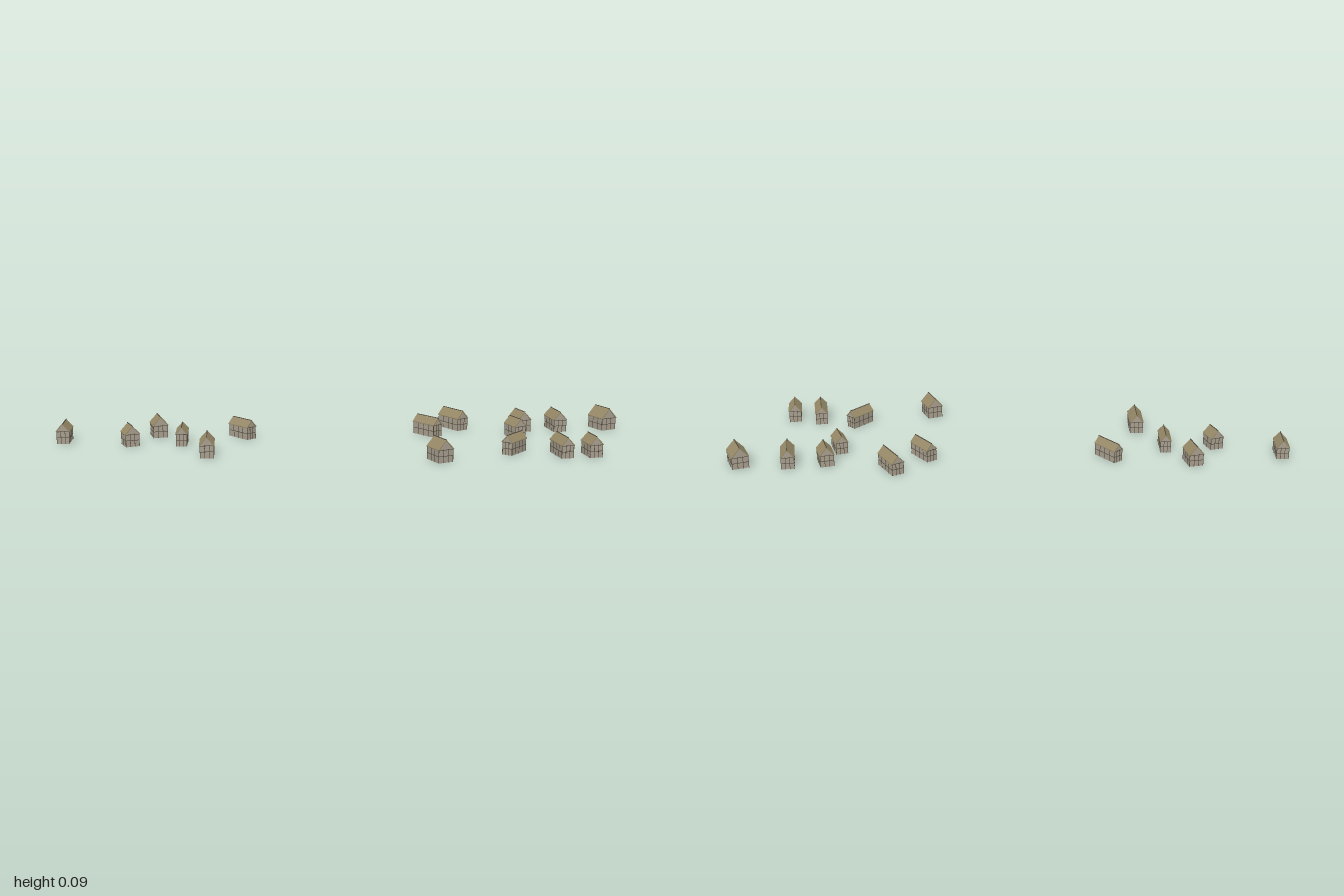
import * as THREE from 'three';

const wallMat = new THREE.MeshStandardMaterial({ color: 0xa89f8f });
const roofMat = new THREE.MeshStandardMaterial({ color: 0x978a68 });
const beamMat = new THREE.MeshStandardMaterial({ color: 0x4f473b });

const EAVES = 0.049;   // height of the eaves
const OVERHANG = 0.003;
const BEAM = 0.0018;

// x, z of the centre, ridge vector (x, z), overall width
const HOUSES = [
  [-0.956, 0.457, 0.036, 0.086, 0.052],
  [-0.668, 0.248, 0.048, 0.064, 0.060],
  [-0.694, 0.427, 0.048, 0.050, 0.057],
  [-0.523, 0.339, 0.043, 0.099, 0.045],
  [-0.358, 0.158, 0.100, 0.050, 0.046],
  [-0.355, 0.475, 0.048, 0.104, 0.055],
  [0.459, 0.267, 0.062, 0.058, 0.064],
  [0.678, 0.056, -0.030, 0.103, 0.045],
  [0.849, 0.035, 0.064, 0.098, 0.051],
  [0.951, 0.000, 0.047, 0.074, 0.053],
  [0.294, -0.126, 0.100, 0.055, 0.047],
  [0.353, -0.280, 0.100, 0.070, 0.053],
  [0.620, -0.206, 0.058, 0.061, 0.051],
  [0.609, -0.331, 0.054, 0.063, 0.058],
  [0.737, -0.395, 0.059, 0.094, 0.055],
  [0.905, -0.480, 0.067, 0.063, 0.069],
];

// Extrude an outline along z, centred
function prism(points, depth, material, name) {
  const shape = new THREE.Shape(points.map(([x, y]) => new THREE.Vector2(x, y)));
  const geo = new THREE.ExtrudeGeometry(shape, { depth, bevelEnabled: false });
  geo.translate(0, 0, -depth / 2);
  const mesh = new THREE.Mesh(geo, material);
  mesh.name = name;
  return mesh;
}

function makeHouse(length, width) {
  const house = new THREE.Group();
  const ridge = EAVES + width * 0.53;
  const hr = width / 2;
  const hw = hr - OVERHANG;
  const hl = length / 2 - OVERHANG;
  const t = 0.003;

  const beam = (name, w, h, d, x, y, z) => {
    const mesh = new THREE.Mesh(new THREE.BoxGeometry(w, h, d), beamMat);
    mesh.position.set(x, y, z);
    mesh.name = name;
    house.add(mesh);
  };

  // Walls with gables
  house.add(prism([[-hw, 0], [hw, 0], [hw, EAVES], [0, ridge - t], [-hw, EAVES]],
    hl * 2, wallMat, 'walls'));

  // Roof slopes and ridge beam
  house.add(prism([[-hr, EAVES - t], [-hw, EAVES - t], [0, ridge - t], [hw, EAVES - t],
    [hr, EAVES - t], [hr, EAVES], [0, ridge], [-hr, EAVES]], length, roofMat, 'roof'));
  beam('ridgeBeam', 0.003, 0.002, length, 0, ridge, 0);

  // Timber frame: posts and rails on all four walls
  const bays = Math.max(2, Math.round(length / 0.03));
  for (const s of [-1, 1]) {
    for (let i = 0; i <= bays; i++) {
      beam('sidePost', BEAM, EAVES - t, BEAM, s * hw, (EAVES - t) / 2, -hl + (2 * hl * i) / bays);
    }
    for (const f of [-1 / 3, 1 / 3]) {
      beam('gablePost', BEAM, EAVES, BEAM, f * hw, EAVES / 2, s * hl);
    }
    for (const y of [0.024, EAVES - t]) {
      beam('sideRail', BEAM, BEAM, hl * 2, s * hw, y, 0);
      beam('gableRail', hw * 2, BEAM, BEAM, 0, y, s * hl);
    }
  }
  return house;
}

export function createModel() {
  const village = new THREE.Group();
  village.name = 'village';
  HOUSES.forEach(([x, z, dx, dz, width], i) => {
    const house = makeHouse(Math.hypot(dx, dz), width);
    house.name = `house${i + 1}`;
    house.position.set(x, 0, z);
    house.rotation.y = Math.atan2(dx, dz);
    village.add(house);
  });
  return village;
}
